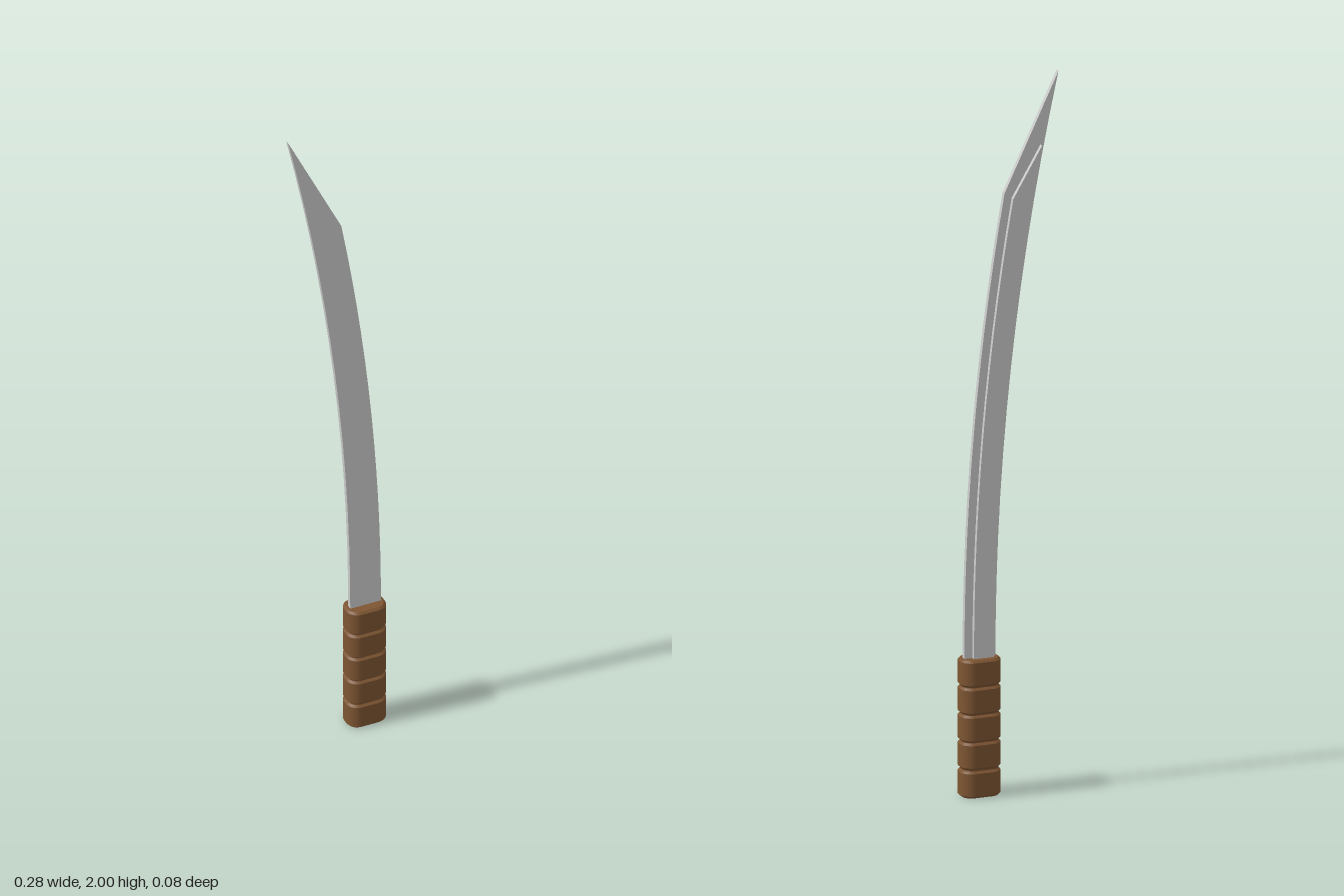
import * as THREE from 'three';

const steel = new THREE.MeshStandardMaterial({ color: 0xcccccc });
const leather = new THREE.MeshStandardMaterial({ color: 0x7d5532 });

// Curved plate: both edges sweep towards -x, ending in a slanted point
function plate(name, left, right, tipY, shoulderY, z0, z1) {
  const base = 0.36, steps = 14;
  const bend = y => 0.07 * Math.max(0, y - 0.385) ** 2;
  const pts = [];
  for (let i = 0; i <= steps; i++) {
    const y = base + (shoulderY - base) * i / steps;
    pts.push(new THREE.Vector2(right - bend(y), y));
  }
  for (let i = steps; i >= 0; i--) {
    const y = base + (tipY - base) * i / steps;
    pts.push(new THREE.Vector2(left - bend(y), y));
  }
  const geo = new THREE.ExtrudeGeometry(new THREE.Shape(pts), { depth: z1 - z0, bevelEnabled: false });
  const mesh = new THREE.Mesh(geo, steel);
  mesh.name = name;
  mesh.position.z = z0;
  return mesh;
}

function roundedRect(w, d, r) {
  const s = new THREE.Shape(), x = w / 2, y = d / 2;
  s.absarc(x - r, y - r, r, 0, Math.PI / 2);
  s.absarc(r - x, y - r, r, Math.PI / 2, Math.PI);
  s.absarc(r - x, r - y, r, Math.PI, Math.PI * 1.5);
  s.absarc(x - r, r - y, r, Math.PI * 1.5, Math.PI * 2);
  return s;
}

// Upright rounded block with chamfered rims
function gripBlock(name, w, d, h, bevel, y) {
  const geo = new THREE.ExtrudeGeometry(roundedRect(w - 2 * bevel, d - 2 * bevel, 0.026), {
    depth: h - 2 * bevel, bevelEnabled: bevel > 0, bevelSize: bevel, bevelThickness: bevel,
    bevelSegments: 1, curveSegments: 6,
  });
  geo.translate(0, 0, bevel).rotateX(-Math.PI / 2);
  const mesh = new THREE.Mesh(geo, leather);
  mesh.name = name;
  mesh.position.y = y;
  return mesh;
}

export function createModel() {
  const model = new THREE.Group();
  model.name = 'sword';

  // Blade with a narrower raised plate on its back
  model.add(plate('blade', 0.04, 0.13, 2.0, 1.675, -0.008, 0.006));
  model.add(plate('backPlate', 0.05, 0.107, 1.8, 1.66, -0.02, -0.008));

  // Grip: five wrapped segments around a core
  const handle = new THREE.Group();
  handle.name = 'handle';
  handle.position.set(0.085, 0, -0.0015);
  const count = 5, pitch = 0.385 / count;
  for (let i = 0; i < count; i++) {
    handle.add(gripBlock('gripSegment' + (i + 1), 0.114, 0.077, pitch - 0.002, 0.006, i * pitch + (i ? 0.002 : 0)));
  }
  handle.add(gripBlock('gripCore', 0.102, 0.065, 0.37, 0, 0.006));
  model.add(handle);
  return model;
}
